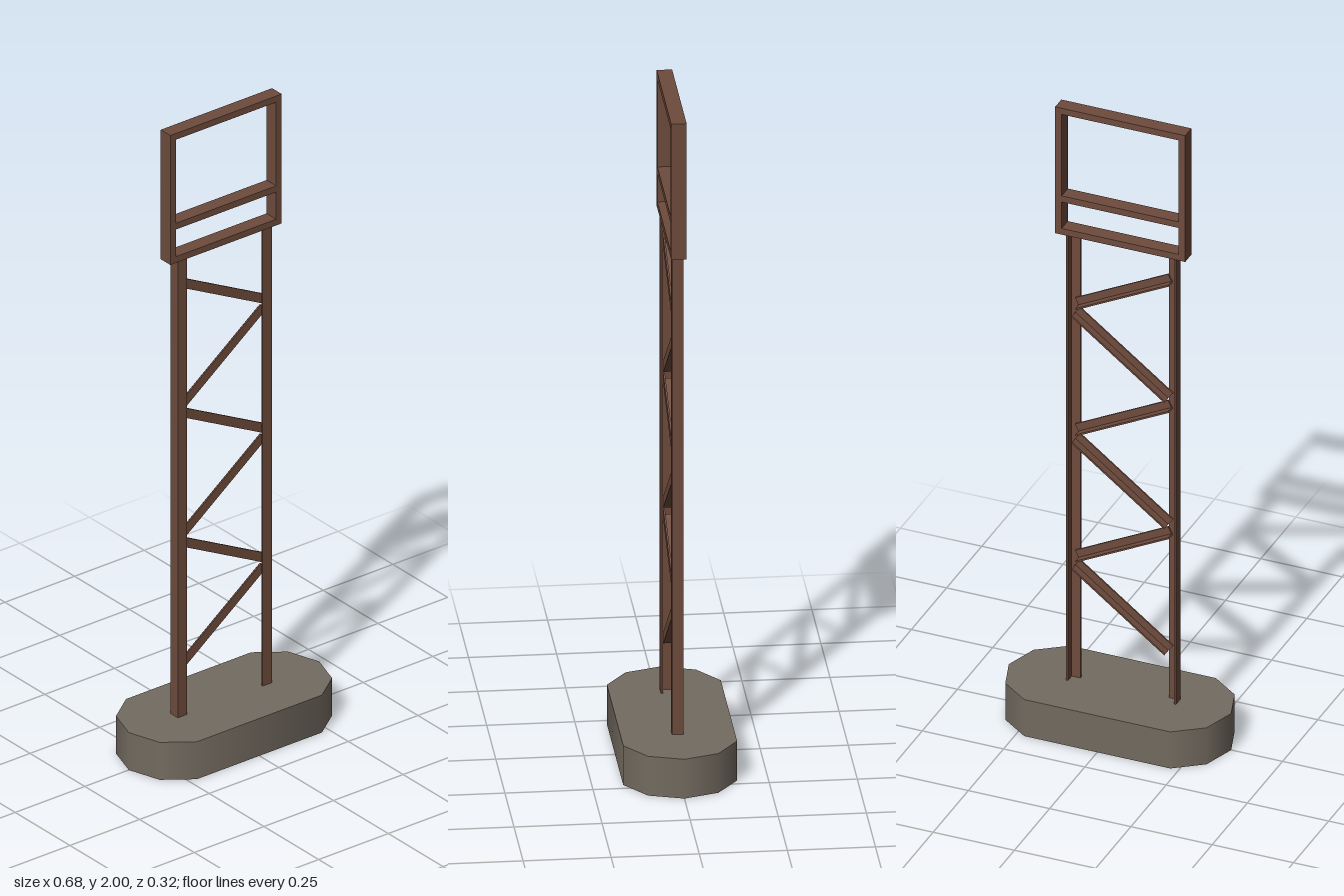
import * as THREE from 'three';

const steel = new THREE.MeshStandardMaterial({ color: 0x6e4b3c });
steel.name = 'rusty brown steel';
const concrete = new THREE.MeshStandardMaterial({ color: 0x736b60, side: THREE.DoubleSide });
concrete.name = 'grey concrete';

const MID = -0.01; // centre line of the steelwork

function bar(name, w, h, d, x, y, z = 0) {
  const mesh = new THREE.Mesh(new THREE.BoxGeometry(w, h, d), steel);
  mesh.name = name;
  mesh.position.set(x, y, z);
  return mesh;
}

// L-section bar along its local y axis; corner at (side * size / 2, +size / 2) in x, z
function angleIron(name, length, size, thick, side) {
  const s = size / 2, t = thick;
  const pts = [[s, -s], [s, s], [-s, s], [-s, s - t], [s - t, s - t], [s - t, -s]];
  // shape y becomes -z once the extrusion is stood upright
  const shape = new THREE.Shape(pts.map(([x, z]) => new THREE.Vector2(side * x, -z)));
  const geo = new THREE.ExtrudeGeometry(shape, { depth: length, bevelEnabled: false });
  geo.translate(0, 0, -length / 2).rotateX(-Math.PI / 2);
  const mesh = new THREE.Mesh(geo, steel);
  mesh.name = name;
  return mesh;
}

function makeBase() {
  // ten-sided drum pulled apart along x, open underneath
  const geo = new THREE.CylinderGeometry(0.17, 0.17, 0.12, 10, 1, false, Math.PI / 2);
  const pos = geo.attributes.position;
  for (let i = 0; i < pos.count; i++) {
    const x = pos.getX(i);
    if (Math.abs(x) > 0.001) pos.setX(i, x + Math.sign(x) * 0.172);
  }
  geo.setIndex(Array.from(geo.index.array).slice(0, -30)); // drop the bottom cap
  geo.clearGroups();
  const base = new THREE.Mesh(geo, concrete);
  base.name = 'base';
  base.position.y = 0.06;
  return base;
}

function makeTower() {
  const tower = new THREE.Group();
  tower.name = 'tower';

  // two upright angle irons with their corners outward and forward
  for (const side of [-1, 1]) {
    const post = angleIron(side < 0 ? 'rightPost' : 'leftPost', 1.48, 0.033, 0.006, side);
    post.position.set(MID + side * 0.1525, 0.85, 0);
    tower.add(post);
  }

  // zigzag braces, three repeats of a steep and a shallow one
  const addBrace = (name, y0, y1) => {
    const a = new THREE.Vector2(-0.152, y0), b = new THREE.Vector2(0.134, y1);
    const d = b.clone().sub(a);
    const brace = angleIron(name, d.length(), 0.028, 0.005, 1);
    brace.position.set((a.x + b.x) / 2, (a.y + b.y) / 2, -0.004);
    brace.rotation.z = d.angle() - Math.PI / 2;
    tower.add(brace);
  };
  for (let i = 0; i < 3; i++) {
    const y = i * 0.415;
    addBrace('steepBrace', 0.285 + y, 0.5 + y);
    addBrace('shallowBrace', 0.672 + y, 0.527 + y);
  }
  return tower;
}

function makeFrame() {
  const frame = new THREE.Group();
  frame.name = 'signFrame';
  const depth = 0.044, t = 0.02;
  for (const side of [-1, 1]) {
    frame.add(bar('frameUpright', t, 0.415, depth, MID + side * 0.19, 1.7925));
  }
  for (const [name, y] of [['bottomRail', 1.595], ['middleRail', 1.702], ['topRail', 1.99]]) {
    frame.add(bar(name, 0.36, t, depth, MID, y));
  }
  return frame;
}

export function createModel() {
  const model = new THREE.Group();
  model.name = 'signTower';
  model.add(makeBase(), makeTower(), makeFrame());
  return model;
}
